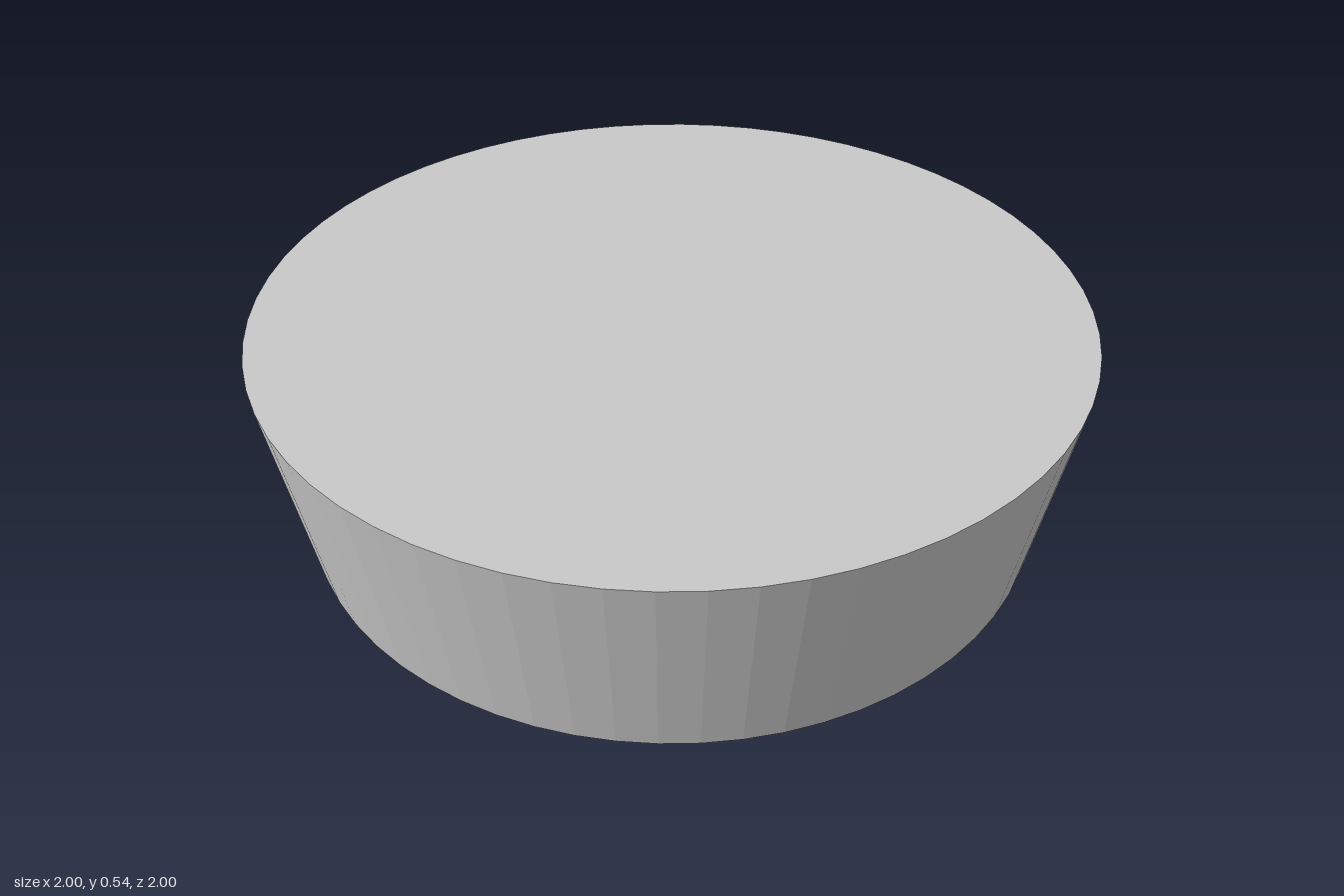
import * as THREE from 'three';

const SIDES = 64;

// Closed turned solid: tapered drum, slightly hollow underside, groove and hub ring
function makeBody() {
  const profile = [
    [0, 0.04], [0.372, 0.04],   // hub ring face
    [0.4, 0.15], [0.445, 0.15], // groove floor
    [0.464, 0.07],              // groove rim
    [0.91, 0.03], [1, 0.543],   // tapered outer wall
    [0, 0.543],                 // flat top
  ].map(([r, y]) => new THREE.Vector2(r, y));
  return new THREE.LatheGeometry(profile, SIDES);
}

// Round boss with four tapered notches cut into its edge
function makeBoss(radius, height) {
  const shape = new THREE.Shape();
  const half = 0.05 / radius; // half angle of a notch mouth
  const steps = 12;
  for (let q = 0; q < 4; q++) {
    const mid = q * Math.PI / 2;
    const c = Math.cos(mid), s = Math.sin(mid);
    // inner corners of the notch
    for (const w of [-0.015, 0.015]) {
      const x = 0.21 * c - w * s, y = 0.21 * s + w * c;
      if (q === 0 && w < 0) shape.moveTo(x, y);
      else shape.lineTo(x, y);
    }
    // arc to the next notch
    for (let i = 0; i <= steps; i++) {
      const a = mid + half + (Math.PI / 2 - 2 * half) * i / steps;
      shape.lineTo(radius * Math.cos(a), radius * Math.sin(a));
    }
  }
  shape.closePath();
  const geo = new THREE.ExtrudeGeometry(shape, { depth: height, bevelEnabled: false });
  return geo.rotateX(-Math.PI / 2);
}

export function createModel() {
  const group = new THREE.Group();
  const grey = new THREE.MeshStandardMaterial({ color: 0xc8c8c8, flatShading: true });
  grey.name = 'light grey';

  const add = (name, geometry) => {
    const mesh = new THREE.Mesh(geometry, grey);
    mesh.name = name;
    group.add(mesh);
  };
  add('body', makeBody());
  add('notchedBoss', makeBoss(0.29, 0.045));
  return group;
}
